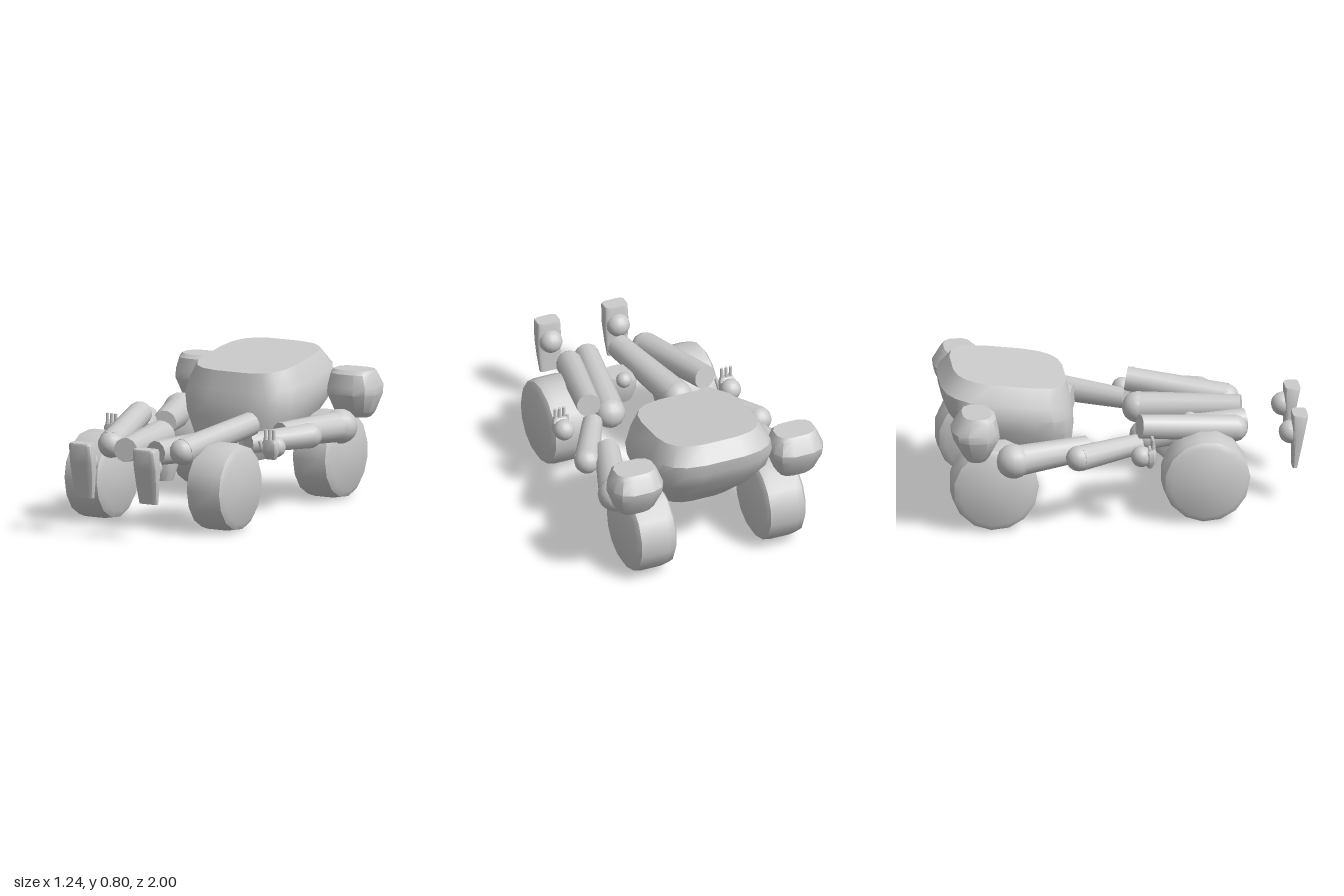
import * as THREE from 'three';
import { toCreasedNormals } from 'three/addons/utils/BufferGeometryUtils.js';

const mat = new THREE.MeshStandardMaterial({ color: 0xcccccc });

function add(parent, name, geo, x = 0, y = 0, z = 0) {
  const m = new THREE.Mesh(geo, mat);
  m.name = name;
  m.position.set(x, y, z);
  parent.add(m);
  return m;
}

// Capped loft through rounded-square rings [y, xHalf, zBack, zFront];
// tilt raises each ring towards the back, measured from z = pivot.
function loft(rings, { power = 3.2, n = 16, tilt = 0, pivot = 0, crease = 0.6 } = {}) {
  const pos = [], idx = [];
  const bend = (v) => Math.sign(v) * Math.pow(Math.abs(v), 2 / power);
  const put = (x, y, z) => pos.push(x, y + tilt * (pivot - z), z);
  for (const [y, hx, z0, z1] of rings) {
    for (let i = 0; i < n; i++) {
      const t = ((i + 0.5) / n) * Math.PI * 2;
      put(hx * bend(Math.cos(t)), y, (z0 + z1) / 2 + ((z1 - z0) / 2) * bend(Math.sin(t)));
    }
  }
  const last = rings.length - 1;
  for (const r of [rings[0], rings[last]]) put(0, r[0], (r[2] + r[3]) / 2);
  const bottom = n * rings.length, top = bottom + 1;
  for (let i = 0; i < n; i++) {
    const j = (i + 1) % n;
    for (let k = 0; k < last; k++) {
      const a = k * n + i, b = k * n + j;
      idx.push(a, a + n, b, b, a + n, b + n);
    }
    idx.push(bottom, i, j, top, last * n + j, last * n + i);
  }
  const g = new THREE.BufferGeometry();
  g.setAttribute('position', new THREE.Float32BufferAttribute(pos, 3));
  g.setIndex(idx);
  return toCreasedNormals(g, crease);
}

const ball = (r) => new THREE.SphereGeometry(r, 14, 10);

// Tapered limb between two points
function limb(parent, name, a, b, ra, rb) {
  const p = new THREE.Vector3(...a), q = new THREE.Vector3(...b);
  const d = q.clone().sub(p);
  const m = add(parent, name, new THREE.CylinderGeometry(rb, ra, d.length(), 12));
  m.position.copy(p).add(q).multiplyScalar(0.5);
  m.quaternion.setFromUnitVectors(new THREE.Vector3(0, 1, 0), d.normalize());
}

// Bevelled wheel with its axle along x
function wheelGeometry() {
  const profile = [[0, -0.115], [0.2, -0.12], [0.232, -0.1], [0.24, -0.06],
    [0.24, 0.06], [0.232, 0.1], [0.2, 0.12], [0, 0.115]];
  const g = new THREE.LatheGeometry(profile.map(([r, y]) => new THREE.Vector2(r, y)), 15);
  return toCreasedNormals(g.rotateZ(Math.PI / 2), 0.6);
}

function buildSide(s) {
  const side = new THREE.Group();
  side.name = s > 0 ? 'leftSide' : 'rightSide';
  const wheel = wheelGeometry();
  add(side, 'frontWheel', wheel, s * 0.383, 0.24, 0.42);
  add(side, 'rearWheel', wheel, s * 0.383, 0.24, -0.735);

  // Shoulder pod
  add(side, 'shoulderPod', loft([
    [0.44, 0.09, -0.9, -0.79], [0.47, 0.115, -0.92, -0.765], [0.57, 0.15, -0.975, -0.715],
    [0.61, 0.15, -0.98, -0.72], [0.68, 0.125, -0.94, -0.735], [0.7, 0.115, -0.92, -0.76],
  ], { n: 12, power: 2.8 }), s * 0.475, 0, 0);

  // Arm
  add(side, 'shoulderBall', ball(0.095), s * 0.5, 0.415, -0.64);
  limb(side, 'upperArm', [s * 0.5, 0.415, -0.63], [s * 0.365, 0.42, -0.225], 0.085, 0.068);
  add(side, 'elbowBall', ball(0.07), s * 0.51, 0.42, -0.285);
  limb(side, 'forearm', [s * 0.51, 0.42, -0.28], [s * 0.325, 0.415, 0.06], 0.07, 0.056);

  // Hand with raised fingers
  const hand = new THREE.Group();
  hand.name = 'hand';
  hand.position.set(s * 0.495, 0.41, 0.06);
  side.add(hand);
  add(hand, 'wrist', ball(0.058));
  add(hand, 'palm', loft([
    [-0.06, 0.03, 0.03, 0.06], [-0.02, 0.048, 0.02, 0.08], [0.03, 0.046, 0.02, 0.08], [0.05, 0.035, 0.04, 0.075],
  ], { n: 12 }));
  for (let i = -1; i <= 1; i++) {
    add(hand, 'finger', new THREE.CylinderGeometry(0.009, 0.011, 0.1, 8), i * 0.026, 0.055, 0.06);
  }
  limb(hand, 'thumb', [-s * 0.04, -0.02, 0.06], [-s * 0.055, 0.04, 0.075], 0.012, 0.009);

  // Folded leg
  limb(side, 'thigh', [s * 0.345, 0.525, 0.065], [s * 0.225, 0.445, 0.6], 0.066, 0.073);
  add(side, 'kneeBall', ball(0.073), s * 0.224, 0.443, 0.595);
  add(side, 'hipBall', ball(0.085), s * 0.2, 0.415, 0.11);
  limb(side, 'shin', [s * 0.2, 0.415, 0.11], [s * 0.095, 0.435, 0.665], 0.085, 0.067);

  // Detached foot
  add(side, 'ankleBall', ball(0.065), s * 0.2, 0.4, 0.905);
  add(side, 'foot', loft([
    [0.205, 0.055, 0.91, 0.938], [0.3, 0.066, 0.91, 0.957], [0.4, 0.073, 0.91, 0.977],
    [0.5, 0.069, 0.91, 0.998], [0.512, 0.064, 0.914, 0.994],
  ], { n: 16, power: 4.5 }), s * 0.2, 0, 0);
  return side;
}

export function createModel() {
  const model = new THREE.Group();
  model.name = 'foldedVehicle';

  // Torso body, tilted up towards the rear
  add(model, 'torso', loft([
    [0.238, 0.2, -0.7, -0.29], [0.34, 0.28, -0.83, -0.28], [0.47, 0.345, -0.955, -0.27],
    [0.55, 0.36, -0.99, -0.272], [0.62, 0.345, -1, -0.285], [0.72, 0.29, -0.93, -0.308],
  ], { n: 20, power: 3.4, tilt: 0.13, pivot: -0.29, crease: 0.55 }));

  // Pelvis with its small waist joint
  add(model, 'pelvis', loft([
    [0.25, 0.075, 0.4, 0.51], [0.33, 0.098, 0.37, 0.54], [0.39, 0.1, 0.37, 0.54], [0.42, 0.075, 0.38, 0.52],
  ], { n: 16, power: 2.6 }));
  add(model, 'waistBall', ball(0.043), 0, 0.412, 0.375);

  for (const s of [1, -1]) model.add(buildSide(s));
  return model;
}
